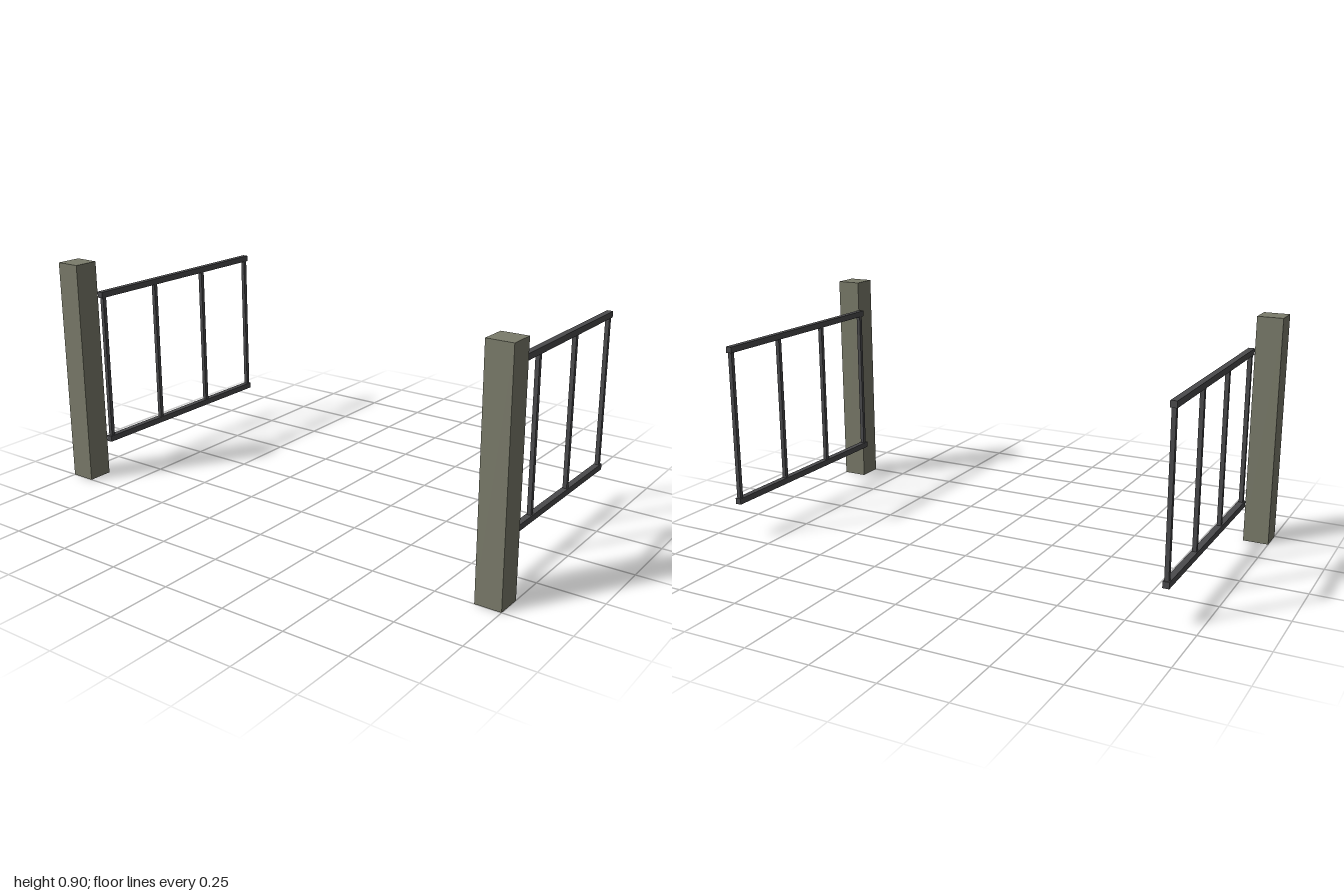
import * as THREE from 'three';

export function createModel() {
  const model = new THREE.Group();
  model.name = 'openGateway';
  const stone = new THREE.MeshStandardMaterial({ color: 0x7b7c6b });
  stone.name = 'stone';
  const iron = new THREE.MeshStandardMaterial({ color: 0x4b4b4d });
  iron.name = 'iron';

  const addBox = (parent, name, material, [w, h, d], [x, y, z]) => {
    const mesh = new THREE.Mesh(new THREE.BoxGeometry(w, h, d), material);
    mesh.name = name;
    mesh.position.set(x, y, z);
    parent.add(mesh);
  };

  for (const [side, s] of [['left', 1], ['right', -1]]) {
    // square gatepost
    addBox(model, side + 'Post', stone, [0.1, 0.9, 0.1], [s * 0.95, 0.45, 0.45]);

    // gate leaf swung open behind the post
    const gate = new THREE.Group();
    gate.name = side + 'Gate';
    gate.position.x = s * 0.8875;
    model.add(gate);
    addBox(gate, 'bottomRail', iron, [0.024, 0.024, 0.9], [0, 0.154, -0.05]);
    addBox(gate, 'topRail', iron, [0.024, 0.024, 0.9], [0, 0.765, -0.05]);
    // upright bars between the rails
    for (let i = 0; i < 4; i++) {
      addBox(gate, 'bar' + (i + 1), iron, [0.016, 0.587, 0.016], [0, 0.4595, 0.383 - i * 0.29]);
    }
  }
  return model;
}
